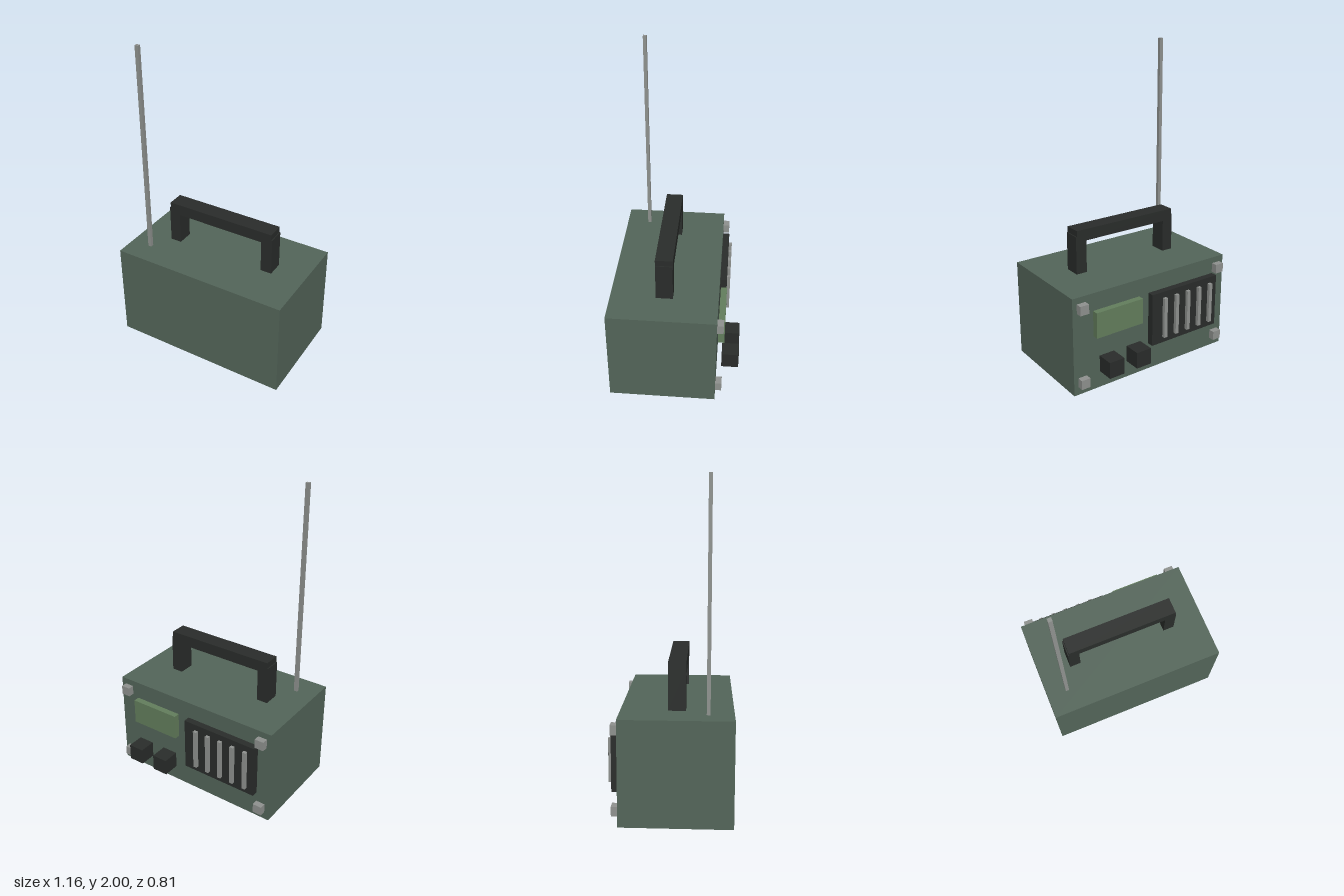
import * as THREE from 'three';

const material = (color) => new THREE.MeshStandardMaterial({ color });

export function createModel() {
  const radio = new THREE.Group();
  radio.name = 'portableRadio';

  const green = material(0x54665a);
  const dark = material(0x2a2d2b);
  const metal = material(0x909390);
  const screen = material(0x647f5d);

  // Box given by its extents along each axis
  function box(name, mat, [x0, x1], [y0, y1], [z0, z1]) {
    const mesh = new THREE.Mesh(new THREE.BoxGeometry(x1 - x0, y1 - y0, z1 - z0), mat);
    mesh.position.set((x0 + x1) / 2, (y0 + y1) / 2, (z0 + z1) / 2);
    mesh.name = name;
    radio.add(mesh);
  }

  // Case and antenna
  box('case', green, [-0.58, 0.58], [0, 0.64], [-0.266, 0.404]);
  box('antenna', metal, [-0.457, -0.434], [0.64, 2], [0.242, 0.264]);

  // Carrying handle: two posts and a grip slightly inset at the ends
  for (const side of [-1, 1]) {
    const x = side * 0.335;
    box('handlePost', dark, [x - 0.037, x + 0.037], [0.64, 0.886], [0.015, 0.121]);
  }
  box('handleGrip', dark, [-0.365, 0.365], [0.85, 0.924], [0.014, 0.122]);

  // Speaker panel with upright slats
  box('speakerPanel', dark, [-0.49, 0.03], [0.18, 0.53], [-0.309, -0.266]);
  for (let i = 0; i < 5; i++) {
    const x = -0.43 + i * 0.092;
    box('speakerSlat', metal, [x - 0.012, x + 0.012], [0.22, 0.49], [-0.33, -0.3]);
  }

  // Display and square knobs
  box('display', screen, [0.106, 0.442], [0.364, 0.53], [-0.312, -0.272]);
  for (const x of [0.167, 0.365]) {
    box('knob', dark, [x - 0.052, x + 0.052], [0.132, 0.238], [-0.407, -0.298]);
  }

  // Corner screws
  for (const x of [-0.52, 0.52]) {
    for (const y of [0.083, 0.57]) {
      box('cornerScrew', metal, [x - 0.03, x + 0.03], [y - 0.03, y + 0.03], [-0.306, -0.266]);
    }
  }

  return radio;
}
